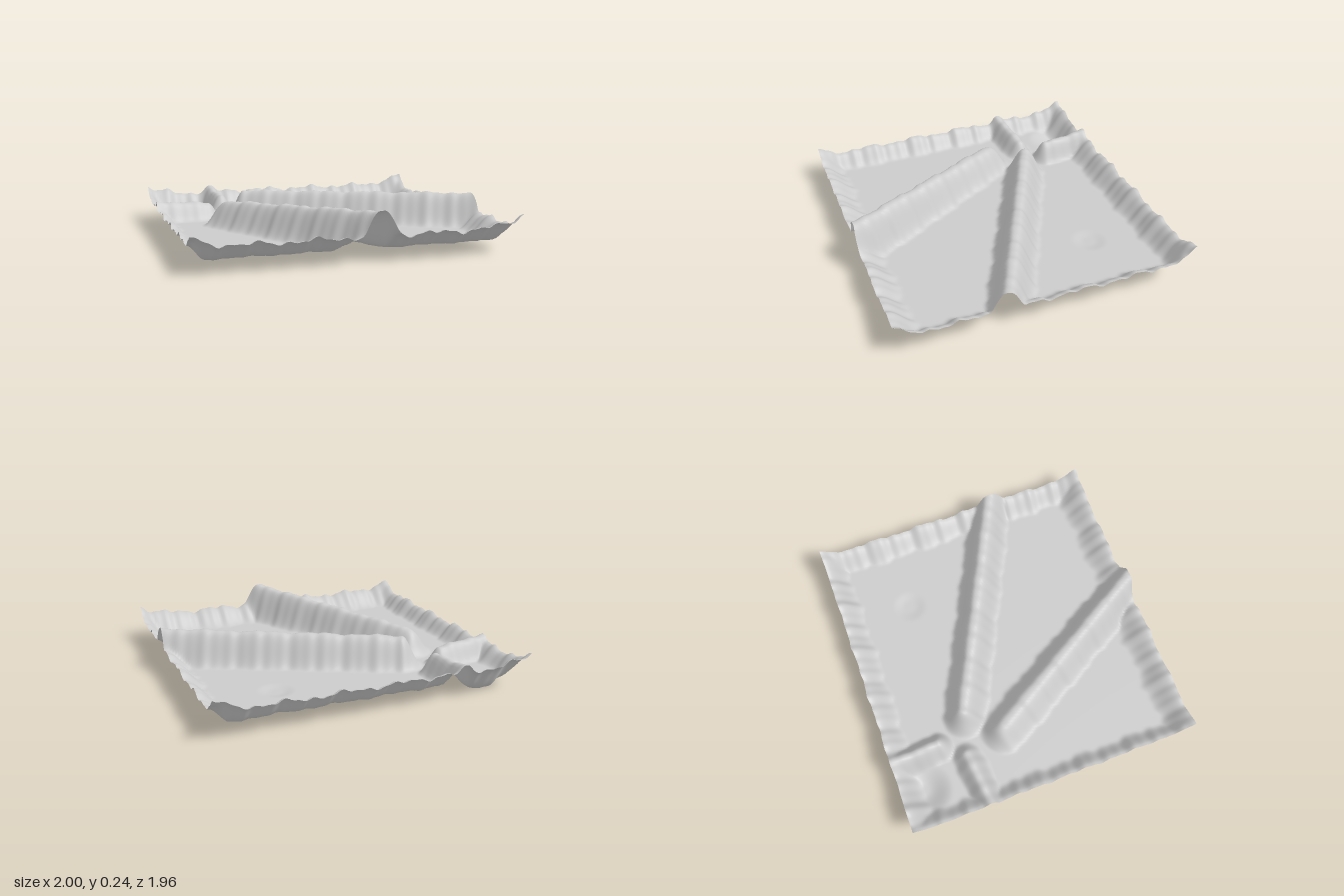
import * as THREE from 'three';

const FLOOR = 0.045;

// Plot corners as [x, z]: left, back, right, front
const LEFT = [-1, -0.34], BACK = [0.39, -0.98], RIGHT = [0.995, 0.33], FRONT = [-0.38, 0.975];

// Ridge crests: start, end, height above floor at each end, half width
const RIDGES = [
  { a: [-0.4, -0.16], b: [0.85, -0.125], h: [0.15, 0.165], w: 0.115 },
  { a: [-0.45, 0.045], b: [0.42, 0.66], h: [0.125, 0.19], w: 0.12 },
  { a: [-0.86, 0.03], b: [-0.6, -0.125], h: [0.11, 0.085], w: 0.08 },
  { a: [-0.69, -0.5], b: [-0.565, -0.275], h: [0.12, 0.105], w: 0.08 },
];

// Raised rims, indexed by side: height above floor, width
const RIMS = {
  back: { h: 0.095, w: 0.11, seed: 1 },
  right: { h: 0.075, w: 0.11, seed: 2.7 },
  front: { h: 0.08, w: 0.13, seed: 4.1 },
  left: { h: 0.075, w: 0.09, seed: 6.3 },
};

const lerp = THREE.MathUtils.lerp;
const slope = (d, w, flat) => 1 - THREE.MathUtils.smoothstep(d, w * flat, w);

// Smooth ripples between -1 and 1 along a length
const ripple = (s, seed) =>
  0.45 * Math.sin(s * 23 + seed * 5) + 0.35 * Math.sin(s * 51 + seed * 9) + 0.2 * Math.sin(s * 97 + seed * 3);

function ridgeHeight({ a, b, h, w }, x, z, seed) {
  const dx = b[0] - a[0], dz = b[1] - a[1], length = Math.hypot(dx, dz);
  const t = ((x - a[0]) * dx + (z - a[1]) * dz) / (length * length);
  const tc = THREE.MathUtils.clamp(t, 0, 1);
  const d = Math.hypot(x - a[0] - dx * tc, z - a[1] - dz * tc);
  const r = ripple(t * length, seed);
  return (lerp(h[0], h[1], tc) + r * 0.007) * slope(d, w * (1 + r * 0.08), 0.08);
}

function rimHeight({ h, w, seed }, distance, along) {
  const r = ripple(along, seed);
  // rims climb towards the corners
  const corner = 0.035 * Math.pow(Math.abs(along / 1.48 - 0.5) * 2, 8);
  return (h + corner + r * 0.017) * slope(distance, w * (1 + r * 0.15), 0.02);
}

function groundHeight(u, v, x, z) {
  const across = u * 1.52, down = v * 1.44;
  const parts = [
    rimHeight(RIMS.back, down, across),
    rimHeight(RIMS.front, 1.44 - down, across),
    rimHeight(RIMS.left, across, down),
    rimHeight(RIMS.right, 1.52 - across, down),
    ...RIDGES.map((ridge, i) => ridgeHeight(ridge, x, z, i + 1)),
  ];
  // soft union of rims and ridges
  const raised = Math.pow(parts.reduce((sum, p) => sum + Math.pow(Math.max(p, 0), 6), 0), 1 / 6);
  // sunken corner basin and a faint dimple in the large field
  const basin = 0.045 * slope(Math.hypot(x + 0.775, z + 0.325), 0.145, 0.15);
  const dimple = 0.008 * slope(Math.hypot(x - 0.18, z + 0.5), 0.09, 0.3);
  return Math.max(0, FLOOR + raised - basin - dimple);
}

export function createModel() {
  const group = new THREE.Group();
  group.name = 'terrainTile';

  // Sheet of ground spread between the four corners and raised by rule
  const geometry = new THREE.PlaneGeometry(1, 1, 150, 150);
  const pos = geometry.attributes.position;
  for (let i = 0; i < pos.count; i++) {
    const u = pos.getX(i) + 0.5, v = 0.5 - pos.getY(i);
    const [x, z] = [0, 1].map(k => lerp(lerp(LEFT[k], BACK[k], u), lerp(FRONT[k], RIGHT[k], u), v));
    // slightly ragged outline, fading towards the middle and the corners
    const sideways = 0.006 * ripple(v * 1.4, 3) * Math.pow(Math.abs(2 * u - 1), 10) * Math.sin(Math.PI * v);
    const lengthways = 0.006 * ripple(u * 1.4, 8) * Math.pow(Math.abs(2 * v - 1), 10) * Math.sin(Math.PI * u);
    pos.setXYZ(i, x + sideways, groundHeight(u, v, x, z), z + lengthways);
  }
  geometry.computeVertexNormals();

  const ground = new THREE.Mesh(
    geometry,
    new THREE.MeshStandardMaterial({ color: 0xcccccc, side: THREE.DoubleSide })
  );
  ground.name = 'ground';
  group.add(ground);
  return group;
}
